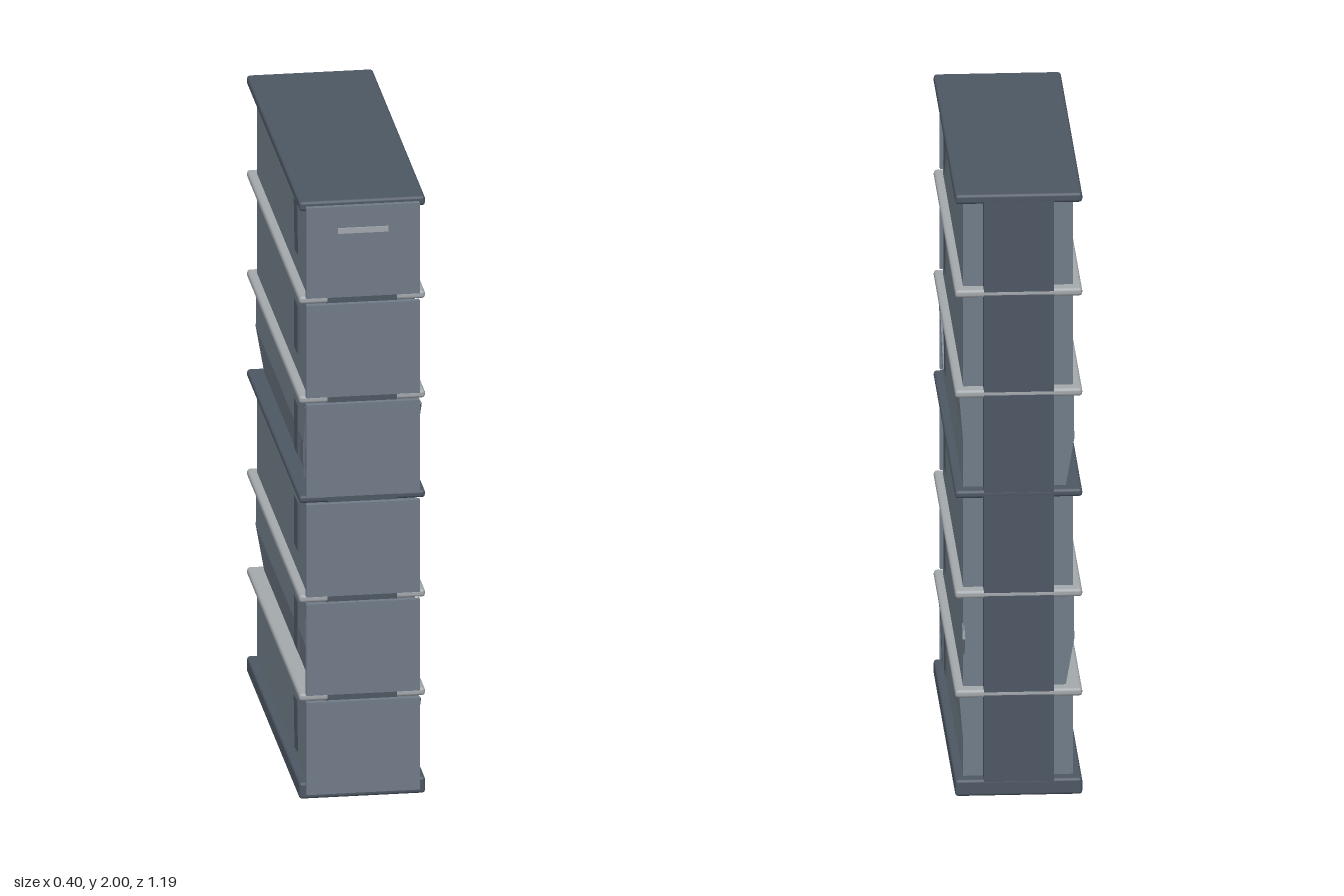
import * as THREE from 'three';
import { RoundedBoxGeometry } from 'three/addons/geometries/RoundedBoxGeometry.js';

const material = (name, color) => {
  const m = new THREE.MeshStandardMaterial({ color });
  m.name = name;
  return m;
};

export function createModel() {
  const model = new THREE.Group();
  model.name = 'drawerTower';
  const frame = material('dark frame', 0x4d5763);
  const panel = material('grey panel', 0x717c88);
  const trim = material('pale trim', 0xa3a8ac);
  const inset = material('dark inset', 0x505a64);

  const add = (name, geometry, mat, x, y, z) => {
    const mesh = new THREE.Mesh(geometry, mat);
    mesh.name = name;
    mesh.position.set(x, y, z);
    model.add(mesh);
    return mesh;
  };
  const box = (name, mat, x0, x1, y0, y1, z0, z1) =>
    add(name, new THREE.BoxGeometry(x1 - x0, y1 - y0, z1 - z0), mat,
      (x0 + x1) / 2, (y0 + y1) / 2, (z0 + z1) / 2);
  const plate = (name, mat, y0, y1) =>
    add(name, new RoundedBoxGeometry(0.4, y1 - y0, 1.165, 2, 0.01), mat,
      0, (y0 + y1) / 2, -0.0095);

  // Narrow spine running the full height and depth
  box('core', frame, -0.11, 0.11, 0.02, 1.98, -0.5915, 0.5735);

  // Base, lid and shelf plates
  plate('base', frame, 0, 0.055);
  plate('lid', frame, 1.968, 2);
  const levels = [0.34, 0.67, 1.003, 1.337, 1.67];
  levels.forEach((y, i) => plate('shelf', i === 2 ? frame : trim, y - 0.013, y + 0.013));

  // Side panel made from an outline in x and y, swept along z
  const bentPanel = (side, y0, y1, low, mid, top) => {
    const outline = [[0.1, y0], [low, y0], [mid, (y0 + y1) / 2], [top, y1], [0.1, y1]];
    const shape = new THREE.Shape(outline.map(([x, y]) => new THREE.Vector2(side * x, y)));
    const geometry = new THREE.ExtrudeGeometry(shape, { depth: 1.085, bevelEnabled: false });
    add('sidePanel', geometry, panel, 0, 0, -0.55);
  };

  // Six bays: drawer front, side panels and dark grips
  const edges = [0.02, ...levels, 1.985];
  for (let i = 0; i < 6; i++) {
    const y0 = edges[i] + (i ? 0.012 : 0);
    const y1 = edges[i + 1] - (i < 5 ? 0.012 : 0);
    box('drawerFront', panel, -0.18, 0.18, y0, y1, 0.573, 0.59);
    for (const s of [-1, 1]) {
      const leaning = s > 0 && (i === 0 || i === 3);
      const dented = s < 0 && (i === 1 || i === 3);
      bentPanel(s, y0, y1, dented ? 0.15 : 0.173, dented ? 0.177 : 0.173, leaning ? 0.186 : dented ? 0.175 : 0.173);
      const top = leaning ? (i ? 1.21 : 0.22) : [0.255, 0.59, 0.925, 1.25, 1.585, 1.92][i];
      const bottom = [0.085, 0.425, 0.76, 1.083, 1.42, 1.752][i];
      const grip = box('sideGrip', inset, s * 0.175 - 0.0035, s * 0.175 + 0.0035, bottom, top, 0.307, 0.385);
      if (i === 0 || i === 5) grip.rotation.x = -0.12;
    }
  }

  // Label strip on the top drawer
  box('labelStrip', trim, -0.08, 0.08, 1.896, 1.914, 0.588, 0.5945);

  // Loose bent strips; points are [x, y, z]
  const strip = (points, width, mat) => {
    const path = points.map((p) => new THREE.Vector3(...p));
    for (let i = 1; i < path.length; i++) {
      const a = path[i - 1], d = path[i].clone().sub(a);
      const mesh = add('looseStrip', new THREE.BoxGeometry(0.006, d.length(), width), mat, 0, 0, 0);
      mesh.position.copy(a).addScaledVector(d, 0.5);
      mesh.quaternion.setFromUnitVectors(new THREE.Vector3(0, 1, 0), d.normalize());
    }
  };
  strip([[0.184, 1.31, 0.57], [0.179, 1.19, 0.505], [0.176, 1.06, 0.44]], 0.014, panel);
  strip([[0.182, 0.32, 0.57], [0.178, 0.2, 0.515], [0.175, 0.07, 0.485]], 0.01, frame);
  strip([[0.184, 0.32, 0.513], [0.178, 0.2, 0.523]], 0.008, frame);
  strip([[-0.178, 1.31, 0.57], [-0.178, 1.18, 0.53], [-0.17, 1.05, 0.49]], 0.014, panel);

  // Torn edge of one rear panel
  const tear = new THREE.Shape([[0.54, 0.44], [0.585, 0.52], [0.57, 0.545], [0.54, 0.56]].map((p) => new THREE.Vector2(...p)));
  const flap = add('tornEdge', new THREE.ExtrudeGeometry(tear, { depth: 0.008, bevelEnabled: false }), panel, 0.168, 0, 0);
  flap.rotation.y = Math.PI / 2;

  return model;
}
